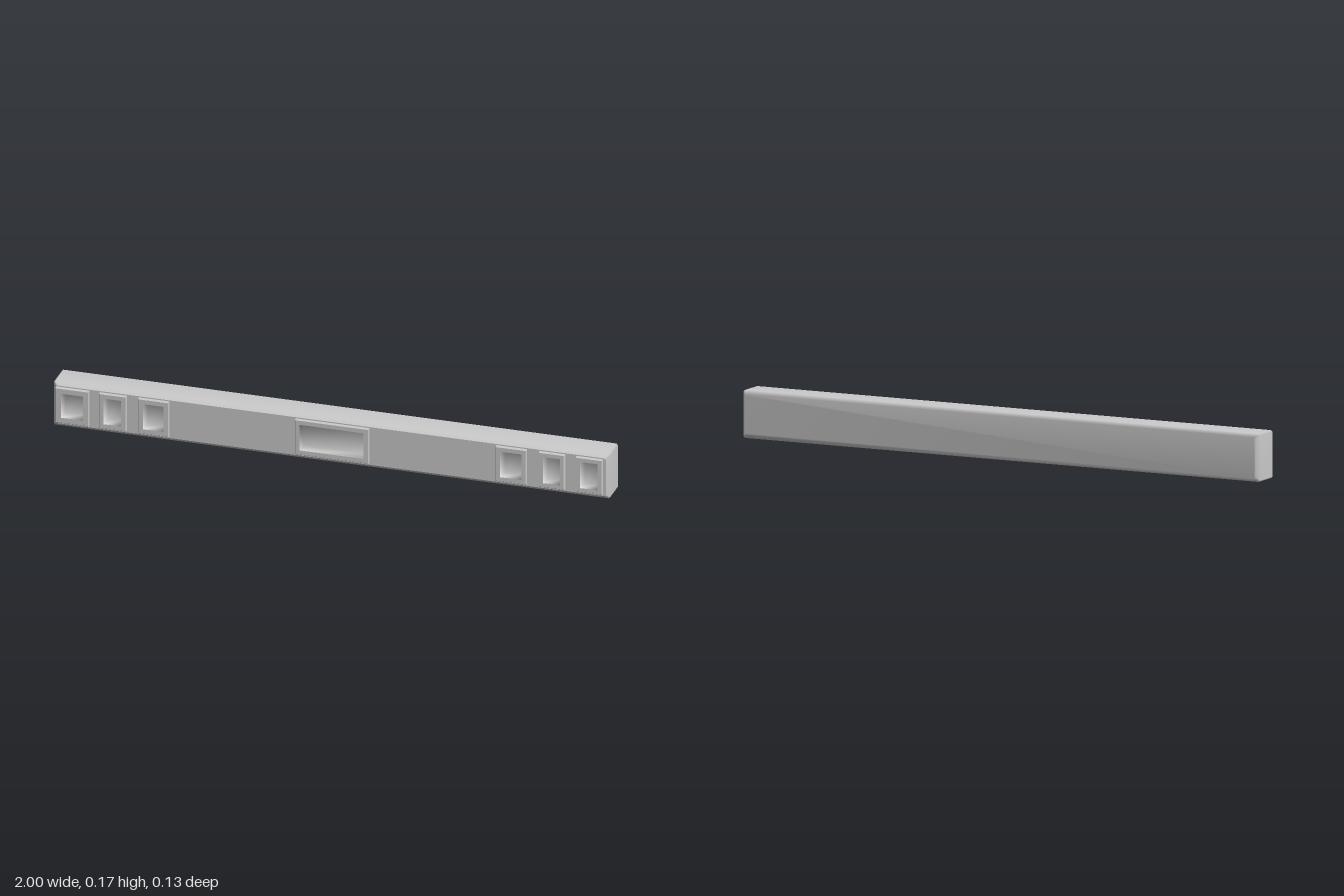
import * as THREE from 'three';
import { toCreasedNormals } from 'three/addons/utils/BufferGeometryUtils.js';

const grey = new THREE.MeshStandardMaterial({ color: 0xcccccc });
const Y0 = 0.02, Y1 = 0.151; // bottom and top of the window frames
const FRONT = 0.052, FLOOR = 0.036;

// Left edge, right edge and rim width of each window
const windows = [
  [-0.987, -0.868, 0.02], [-0.83, -0.733, 0.017], [-0.69, -0.58, 0.018],
  [-0.126, 0.138, 0.017],
  [0.595, 0.705, 0.017], [0.75, 0.842, 0.016], [0.883, 0.978, 0.016],
];

// Counter-clockwise rectangle at depth z, with optional cut corners
function ring(x0, x1, y0, y1, z, cut = 0) {
  const p = cut
    ? [[x0 + cut, y0], [x1 - cut, y0], [x1, y0 + cut], [x1, y1 - cut],
      [x1 - cut, y1], [x0 + cut, y1], [x0, y1 - cut], [x0, y0 + cut]]
    : [[x0, y0], [x1, y0], [x1, y1], [x0, y1]];
  return p.map(([x, y]) => [x, y, z]);
}

// Skin a row of rings, optionally closing the first or last one
function loft(rings, capStart, capEnd) {
  const n = rings[0].length, index = [];
  const last = (rings.length - 1) * n;
  for (let r = 0; r < rings.length - 1; r++) {
    for (let i = 0; i < n; i++) {
      const a = r * n + i, b = r * n + (i + 1) % n;
      index.push(a, b, b + n, a, b + n, a + n);
    }
  }
  for (let i = 1; i < n - 1; i++) {
    if (capStart) index.push(0, i + 1, i);
    if (capEnd) index.push(last, last + i, last + i + 1);
  }
  const g = new THREE.BufferGeometry();
  g.setAttribute('position', new THREE.Float32BufferAttribute(rings.flat(2), 3));
  g.setIndex(index);
  g.computeVertexNormals();
  return g;
}

function mesh(name, geometry) {
  const m = new THREE.Mesh(geometry, grey);
  m.name = name;
  return m;
}

export function createModel() {
  const group = new THREE.Group();
  group.name = 'lightBar';

  // Bevelled housing, softly shaded, open at the front
  const H = 0.167, c = 0.012;
  const bodyRing = (inset, z) => ring(-1 + inset, 1 - inset, inset, H - inset, z, 0.006);
  const front = bodyRing(c, FRONT);
  group.add(mesh('housing', loft(
    [bodyRing(c, -0.063), bodyRing(0, -0.051), bodyRing(0, 0.04), front], true, false)));

  // Flat front panel with an opening behind each window
  const panel = new THREE.Shape(front.map(([x, y]) => new THREE.Vector2(x, y)));
  for (const [x0, x1, w] of windows) {
    const hole = ring(x0 + w, x1 - w, Y0 + w, Y1 - w, 0);
    panel.holes.push(new THREE.Path(hole.map(([x, y]) => new THREE.Vector2(x, y)).reverse()));
  }
  const panelMesh = mesh('frontPanel', new THREE.ShapeGeometry(panel));
  panelMesh.position.z = FRONT;
  group.add(panelMesh);

  // Raised frames with sunken pockets
  for (const [x0, x1, w] of windows) {
    const at = (inset, z) => ring(x0 + inset, x1 - inset, Y0 + inset, Y1 - inset, z);
    const frame = loft([at(0, 0.051), at(0, 0.062), at(0.002, 0.064), at(w, 0.064)]);
    const lamp = new THREE.Group();
    lamp.name = 'lampWindow';
    lamp.add(mesh('frame', toCreasedNormals(frame, 0.6)));
    lamp.add(mesh('pocket', loft([at(w, 0.064), at(w + 0.008, FLOOR)], false, true)));
    group.add(lamp);
  }
  return group;
}
